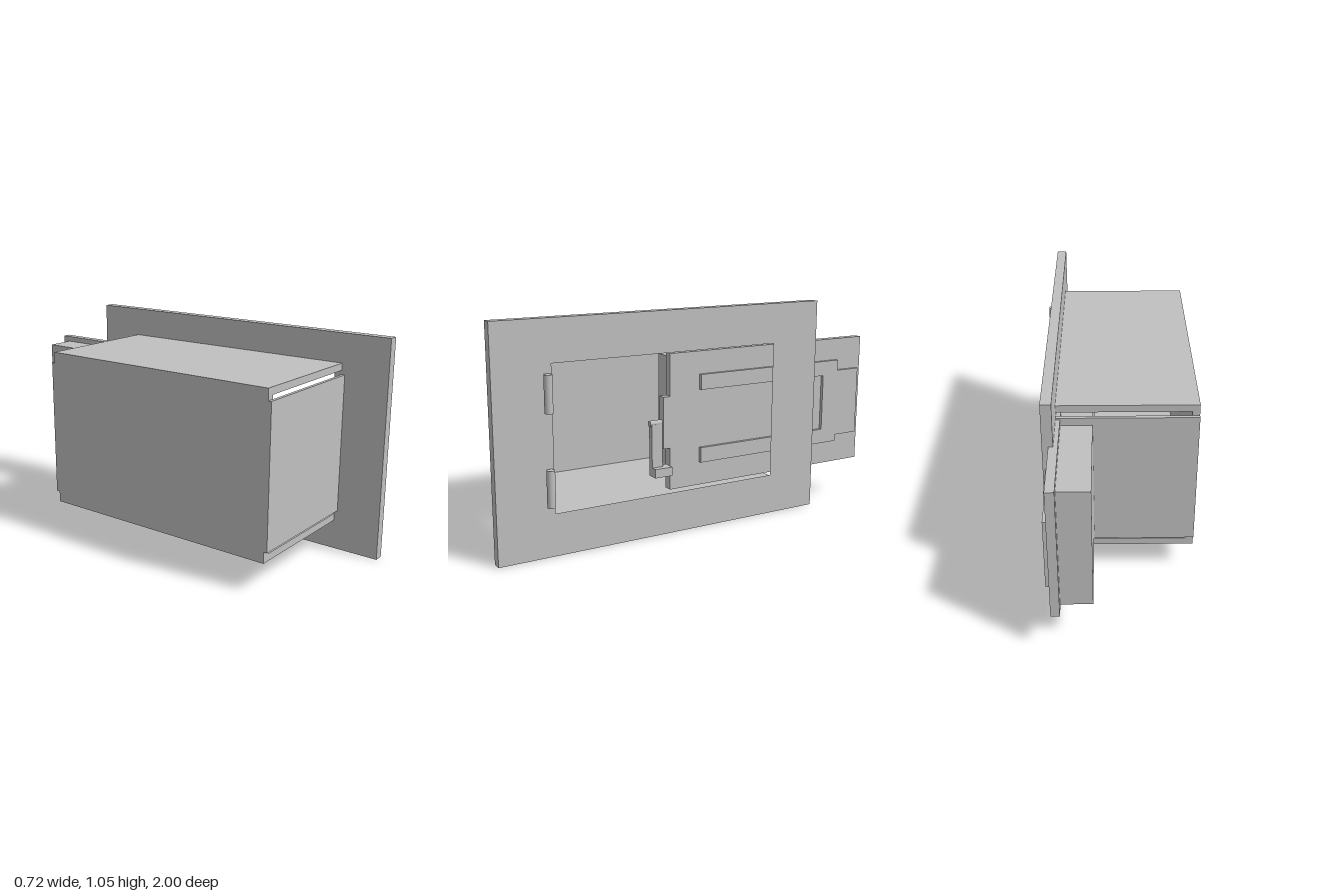
import * as THREE from 'three';

export function createModel() {
  const root = new THREE.Group();
  const grey = new THREE.MeshStandardMaterial({ color: 0xc0c0c0 });
  grey.name = 'light grey metal';

  const add = (name, geometry, parent = root) => {
    const mesh = new THREE.Mesh(geometry, grey);
    mesh.name = name;
    parent.add(mesh);
    return mesh;
  };

  // Box given by its limits along each axis
  const box = (name, x0, x1, y0, y1, z0, z1, parent) =>
    add(name, new THREE.BoxGeometry(x1 - x0, y1 - y0, z1 - z0), parent)
      .position.set((x0 + x1) / 2, (y0 + y1) / 2, (z0 + z1) / 2);

  // Upright plate from a (z, y) outline, spanning x0 to x1
  const plate = (name, points, x0, x1, hole, parent) => {
    const toVectors = (list) => list.map(([z, y]) => new THREE.Vector2(-z, y));
    const shape = new THREE.Shape(toVectors(points));
    if (hole) shape.holes.push(new THREE.Path(toVectors(hole)));
    const geometry = new THREE.ExtrudeGeometry(shape, { depth: x1 - x0, bevelEnabled: false });
    geometry.rotateY(Math.PI / 2);
    geometry.translate(x0, 0, 0);
    add(name, geometry, parent);
  };
  const rect = (z0, z1, y0, y1) => [[z0, y0], [z1, y0], [z1, y1], [z0, y1]];

  // Face frame with its door opening
  plate('faceFrame', rect(-0.684, 1, 0, 1.054), 0.267, 0.314, rect(-0.422, 0.733, 0.197, 0.861));

  // Housing: rear wall, top and bottom slabs, and end panels that leave slots
  const housing = new THREE.Group();
  housing.name = 'housing';
  root.add(housing);
  box('rearWall', -0.362, -0.328, 0.142, 0.914, -0.457, 0.768, housing);
  box('topSlab', -0.328, 0.267, 0.88, 0.914, -0.457, 0.768, housing);
  box('bottomSlab', -0.328, 0.267, 0.142, 0.176, -0.457, 0.768, housing);
  box('frontEndPanel', -0.362, 0.267, 0.195, 0.861, 0.768, 0.784, housing);
  box('backEndPanel', -0.362, 0.267, 0.195, 0.861, -0.475, -0.457, housing);

  // Sliding door: panel, thick core and raised U-shaped rail
  const door = new THREE.Group();
  door.name = 'slidingDoor';
  root.add(door);
  plate('doorPanel', [
    [-1, 0.204], [0.14, 0.204], [0.14, 0.406], [0.174, 0.406],
    [0.174, 0.652], [0.14, 0.652], [0.14, 0.852], [-1, 0.852],
  ], 0.247, 0.287, null, door);
  box('doorCore', 0.106, 0.247, 0.235, 0.825, -0.96, 0.1, door);
  plate('doorRail', [
    [-0.02, 0.317], [-0.02, 0.39], [-0.75, 0.39], [-0.75, 0.67],
    [-0.02, 0.67], [-0.02, 0.743], [-0.842, 0.743], [-0.842, 0.69],
    [-0.977, 0.69], [-0.977, 0.35], [-0.842, 0.35], [-0.842, 0.317],
  ], 0.287, 0.303, null, door);

  // Latch lever with a round pivot and a projecting foot
  box('latchLever', 0.25, 0.278, 0.278, 0.525, 0.174, 0.23, door);
  const pivot = add('latchPivot', new THREE.CylinderGeometry(0.014, 0.014, 0.062, 20), door);
  pivot.rotation.x = Math.PI / 2;
  pivot.position.set(0.264, 0.529, 0.206);
  box('latchFoot', 0.25, 0.308, 0.278, 0.32, 0.14, 0.23, door);

  // Two hinges on the face frame
  for (const y of [0.321, 0.737]) {
    const hinge = new THREE.Group();
    hinge.name = 'hinge';
    hinge.position.y = y;
    root.add(hinge);
    box('hingeLeaf', 0.314, 0.335, -0.045, 0.045, 0.738, 0.758, hinge);
    add('hingeBarrel', new THREE.CylinderGeometry(0.019, 0.019, 0.167, 24), hinge)
      .position.set(0.34, 0, 0.76);
  }
  return root;
}
